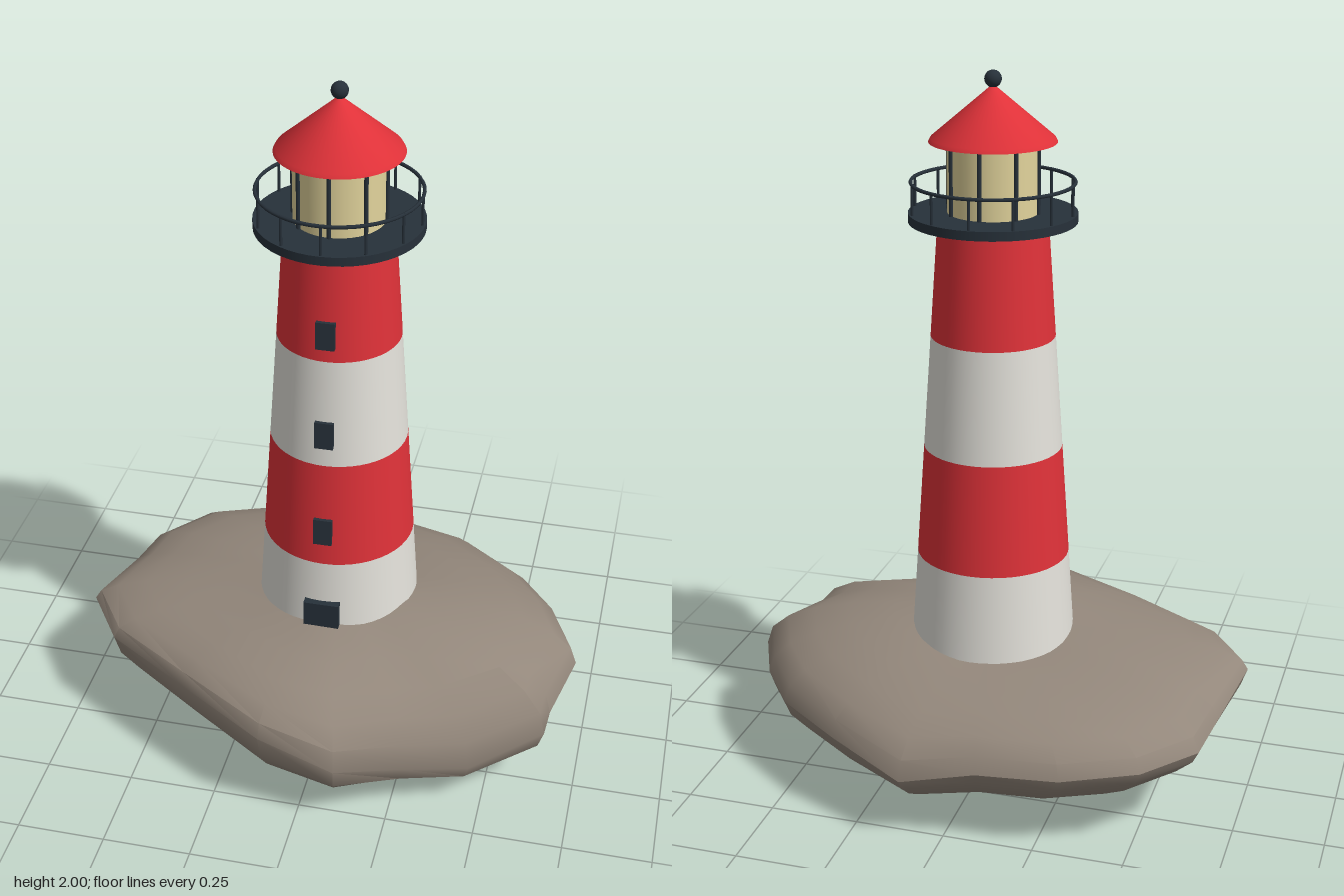
import * as THREE from 'three';
import { toCreasedNormals } from 'three/addons/utils/BufferGeometryUtils.js';

const mat = (name, color) => {
  const m = new THREE.MeshStandardMaterial({ color });
  m.name = name;
  return m;
};

// Widest edge of the rock, from +x round through +z: x, height, z
const ROCK_EDGE = [
  [0.715, 0.25, 0], [0.665, 0.21, 0.185], [0.66, 0.21, 0.277], [0.465, 0.15, 0.4], [0.29, 0.17, 0.465],
  [0.115, 0.22, 0.573], [-0.1, 0.29, 0.56], [-0.365, 0.31, 0.41], [-0.61, 0.315, 0.26], [-0.72, 0.32, 0.1],
  [-0.677, 0.27, -0.13], [-0.654, 0.25, -0.285], [-0.527, 0.25, -0.44], [-0.327, 0.24, -0.523],
  [-0.1, 0.23, -0.535], [0.1, 0.195, -0.57], [0.327, 0.24, -0.47], [0.527, 0.24, -0.32], [0.635, 0.25, -0.177],
];

// Domed boulder: rings shrink from the edge towards the middle. The top leans
// down to the back left; the underside is fuller at the front and right.
function rockGeometry() {
  const bottom = 0.005, rings = 14, n = ROCK_EDGE.length;
  const positions = [], index = [];
  for (let i = 0; i <= rings; i++) {
    const a = (i / rings) * Math.PI;
    const t = Math.sin(a), c = Math.cos(a);
    for (const [x, y, z] of ROCK_EDGE) {
      const top = 0.442 + 0.02 * x + 0.045 * z;
      const under = 1.3 - 0.8 * Math.max(0, z) - 0.3 * Math.max(0, x);
      const h = c >= 0 ? y + (top - y) * Math.pow(c, 0.9) : y + (bottom - y) * Math.pow(-c, under);
      positions.push(x * t, h, z * t);
    }
  }
  for (let i = 0; i < rings; i++) {
    for (let j = 0; j < n; j++) {
      const k = (j + 1) % n;
      const a = i * n + j, b = i * n + k, c = a + n, d = b + n;
      if (i > 0) index.push(a, b, c);
      if (i < rings - 1) index.push(b, d, c);
    }
  }
  const g = new THREE.BufferGeometry();
  g.setAttribute('position', new THREE.Float32BufferAttribute(positions, 3));
  g.setIndex(index);
  return toCreasedNormals(g, 0.6);
}

export function createModel() {
  const red = mat('red paint', 0xe03239);
  const white = mat('white paint', 0xe4e2db);
  const dark = mat('dark metal', 0x27313a);
  const glass = mat('lamp glass', 0xe2d49c);
  const stone = mat('stone', 0x93877b);

  const model = new THREE.Group();
  model.name = 'lighthouse';
  const tower = new THREE.Group();
  tower.name = 'tower';
  tower.position.set(0.005, 0, -0.003);
  model.add(tower);
  const add = (name, geometry, material, x = 0, y = 0, z = 0, parent = tower) => {
    const mesh = new THREE.Mesh(geometry, material);
    mesh.name = name;
    mesh.position.set(x, y, z);
    parent.add(mesh);
    return mesh;
  };

  add('rock', rockGeometry(), stone, 0, 0, 0, model);

  // Tapered tower in four painted bands
  const slope = 0.068;
  const radiusAt = (y) => 0.149 + (1.6 - y) * slope;
  const levels = [0.335, 0.652, 0.968, 1.284, 1.6];
  for (let i = 0; i < 4; i++) {
    const lo = levels[i], hi = levels[i + 1];
    add('towerBand' + (i + 1),
      new THREE.CylinderGeometry(radiusAt(hi), radiusAt(lo), hi - lo, 48, 1, true),
      i % 2 ? red : white, 0, (lo + hi) / 2, 0);
  }

  // Door and windows down the front
  add('door', new THREE.BoxGeometry(0.1, 0.14, 0.05), dark, 0, 0.457, 0.215);
  for (const y of [0.76, 1.065, 1.362]) {
    const win = add('window', new THREE.BoxGeometry(0.052, 0.078, 0.03), dark, 0, y, radiusAt(y) - 0.004);
    win.rotation.x = -Math.atan(slope);
  }

  // Gallery deck and railing
  add('galleryDeck', new THREE.CylinderGeometry(0.227, 0.227, 0.025, 48), dark, 0, 1.6125, 0);
  const railing = new THREE.Group();
  railing.name = 'railing';
  tower.add(railing);
  const rail = add('handrail', new THREE.TorusGeometry(0.219, 0.005, 6, 48), dark, 0, 1.706, 0, railing);
  rail.rotation.x = Math.PI / 2;
  const post = new THREE.CylinderGeometry(0.004, 0.004, 0.09, 6);
  for (let i = 0; i < 12; i++) {
    const a = (i / 12) * Math.PI * 2;
    add('railPost', post, dark, 0.219 * Math.cos(a), 1.665, 0.219 * Math.sin(a), railing);
  }

  // Lantern room with upright glazing bars
  add('lanternGlass', new THREE.CylinderGeometry(0.123, 0.123, 0.195, 40), glass, 0, 1.72, 0);
  const bar = new THREE.CylinderGeometry(0.006, 0.006, 0.19, 8);
  for (let i = 0; i < 8; i++) {
    const a = (i / 8) * Math.PI * 2;
    add('lanternBar', bar, dark, 0.125 * Math.cos(a), 1.72, 0.125 * Math.sin(a));
  }

  // Roof cone with a small eave, and the ball on top
  const roof = [[0, 1.813], [0.171, 1.813], [0.165, 1.824], [0, 1.964]].map(([x, y]) => new THREE.Vector2(x, y));
  add('roof', toCreasedNormals(new THREE.LatheGeometry(roof, 48), 0.6), red);
  add('roofBall', new THREE.SphereGeometry(0.023, 20, 14), dark, 0, 1.977, 0);

  return model;
}
